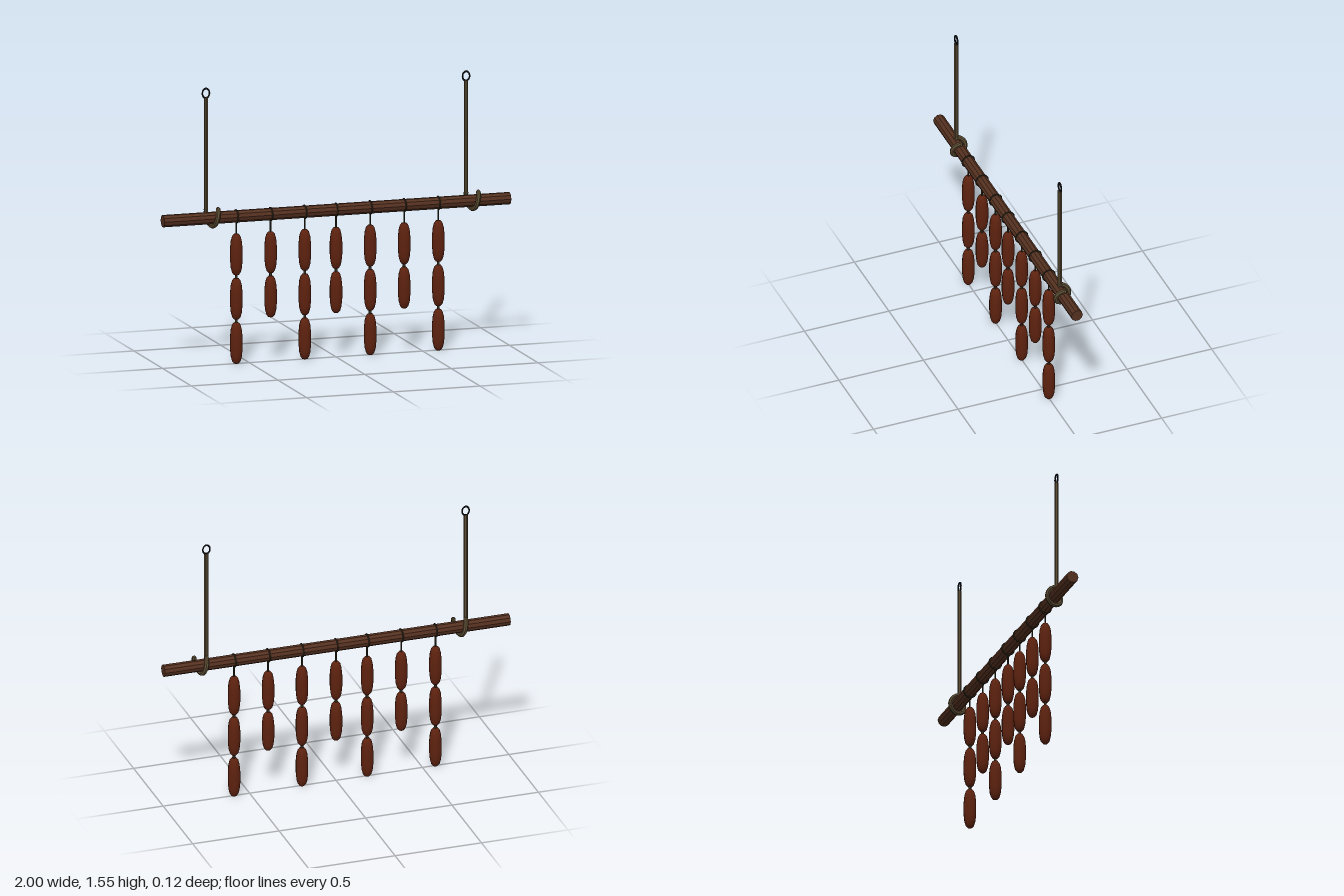
import * as THREE from 'three';

const mat = (name, color, flatShading = false) => {
  const m = new THREE.MeshStandardMaterial({ color, flatShading });
  m.name = name;
  return m;
};

const BAR_Y = 0.833;

export function createModel() {
  const wood = mat('dark wood', 0x553120, true);
  const meat = mat('sausage red', 0x5e220f);
  const rope = mat('rope tan', 0x5c4d34, true);
  const twine = mat('dark twine', 0x332d1f);
  const iron = mat('black iron', 0x15181a);

  const root = new THREE.Group();
  root.name = 'hangingSausageRack';
  const add = (parent, name, geo, material, x = 0, y = 0, z = 0) => {
    const m = new THREE.Mesh(geo, material);
    m.name = name;
    m.position.set(x, y, z);
    parent.add(m);
    return m;
  };

  // Horizontal pole
  const poleGeo = new THREE.CylinderGeometry(0.034, 0.034, 2, 10);
  poleGeo.rotateZ(Math.PI / 2);
  add(root, 'pole', poleGeo, wood, 0, BAR_Y);

  // Hangers: upright rope, one helical wrap round the pole, iron eye on top
  const wrapPoints = [];
  for (let i = 0; i <= 20; i++) {
    const t = i / 20, a = t * Math.PI * 2;
    wrapPoints.push(new THREE.Vector3(t * 0.07, Math.cos(a) * 0.046, -Math.sin(a) * 0.046));
  }
  const wrapGeo = new THREE.TubeGeometry(new THREE.CatmullRomCurve3(wrapPoints), 20, 0.013, 7);
  const ropeGeo = new THREE.CylinderGeometry(0.0125, 0.0125, 0.64, 8);
  const eyeGeo = new THREE.TorusGeometry(0.023, 0.005, 6, 16);
  eyeGeo.scale(0.9, 1.15, 1);
  for (const x of [-0.75, 0.75]) {
    const hanger = new THREE.Group();
    hanger.name = 'hanger';
    hanger.position.x = x;
    root.add(hanger);
    add(hanger, 'hangerRope', ropeGeo, rope, 0, 1.188);
    add(hanger, 'ropeWrap', wrapGeo, rope, 0, BAR_Y);
    // Closed rope ends of the wrap
    const endGeo = new THREE.SphereGeometry(0.013, 7, 5);
    add(hanger, 'ropeEnd', endGeo, rope, 0, BAR_Y + 0.046);
    add(hanger, 'ropeEnd', endGeo, rope, 0.07, BAR_Y + 0.046);
    add(hanger, 'ironEye', eyeGeo, iron, 0, 1.532);
  }

  // Sausage strings: loop on the pole, twine and two or three links
  const profile = [[0, -0.115], [0.014, -0.114], [0.024, -0.101], [0.031, -0.076], [0.035, -0.035],
    [0.035, 0.035], [0.031, 0.076], [0.024, 0.101], [0.014, 0.114], [0, 0.115]];
  const linkGeo = new THREE.LatheGeometry(profile.map(([r, y]) => new THREE.Vector2(r, y)), 12);
  const loopGeo = new THREE.TorusGeometry(0.036, 0.004, 6, 16);
  loopGeo.rotateY(Math.PI / 2);
  const xs = [-0.575, -0.377, -0.18, 0, 0.197, 0.393, 0.59];
  xs.forEach((x, i) => {
    const string = new THREE.Group();
    string.name = 'sausageString';
    string.position.x = x;
    root.add(string);
    const count = i % 2 ? 2 : 3;
    const bottom = 0.62 - (count - 1) * 0.2475;
    add(string, 'poleLoop', loopGeo, twine, 0, BAR_Y);
    const length = 0.8 - bottom;
    add(string, 'twine', new THREE.CylinderGeometry(0.005, 0.005, length, 6), twine, 0, bottom + length / 2);
    for (let k = 0; k < count; k++) {
      add(string, 'sausage', linkGeo, meat, 0, 0.62 - k * 0.2475);
      // Tied collar between links
      if (k) add(string, 'tie', new THREE.CylinderGeometry(0.008, 0.008, 0.02, 6), twine, 0, 0.744 - k * 0.2475);
    }
  });

  // Stand the lowest links on y = 0
  const box = new THREE.Box3().setFromObject(root);
  root.position.y = -box.min.y;
  return root;
}
